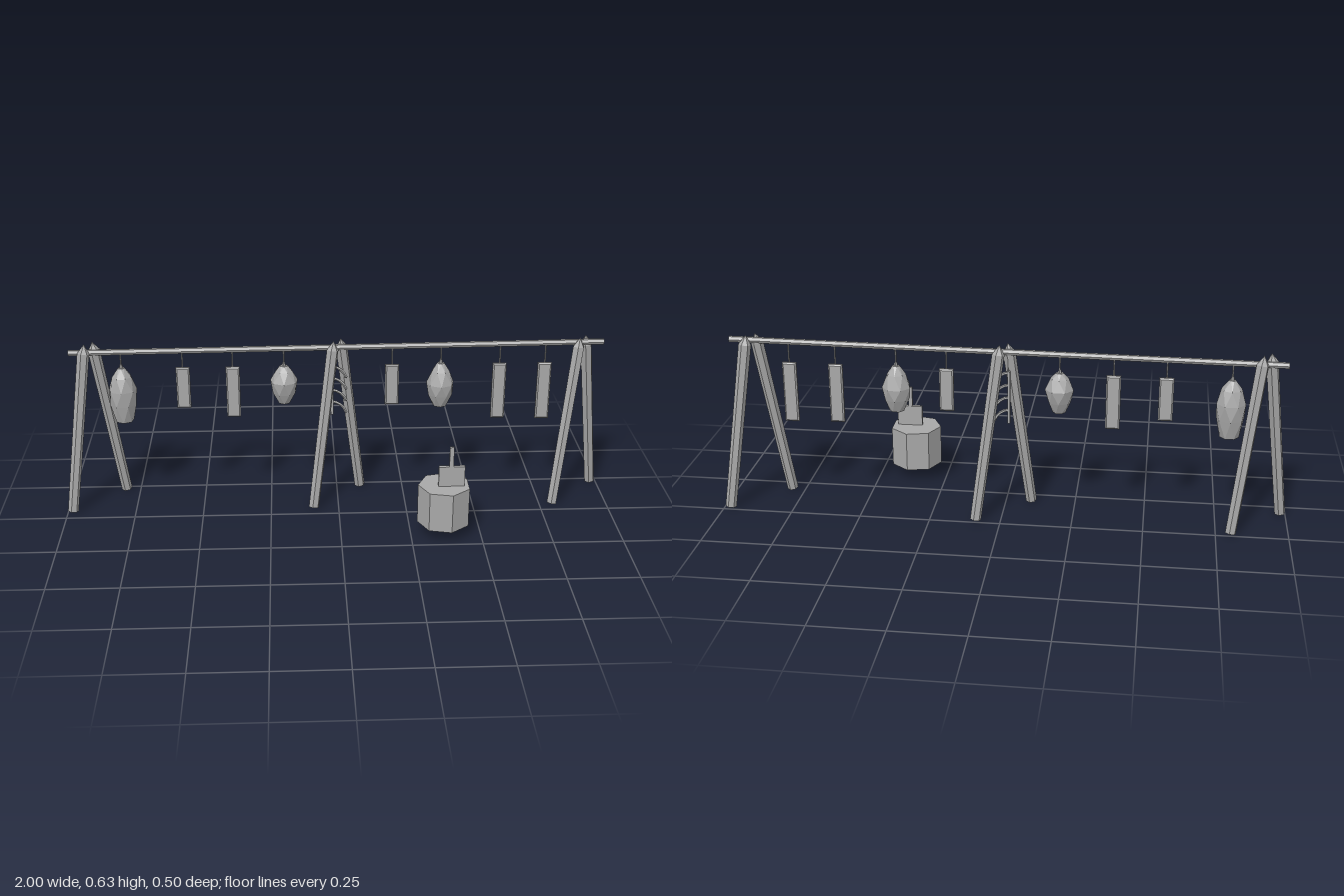
import * as THREE from 'three';

const grey = new THREE.MeshStandardMaterial({ color: 0xa8a8a8, flatShading: true });
grey.name = 'plain grey';

const RACK_Z = -0.141;
const poleY = (x) => 0.601 + x * 0.0085;

function add(parent, geometry, name, x = 0, y = 0, z = 0) {
  const mesh = new THREE.Mesh(geometry, grey);
  mesh.name = name;
  mesh.position.set(x, y, z);
  parent.add(mesh);
  return mesh;
}

// Closed body from horizontal rings [y, radius], alternate rings turned half a step
function facetedBody(rings, sides) {
  const pos = [], index = [];
  rings.forEach(([y, r], j) => {
    for (let i = 0; i < sides; i++) {
      const a = ((i + (j % 2) / 2) / sides) * Math.PI * 2;
      pos.push(Math.sin(a) * r, y, Math.cos(a) * r);
    }
  });
  // Rings run from top to bottom
  for (let j = 0; j < rings.length - 1; j++) {
    for (let i = 0; i < sides; i++) {
      const n = (i + 1) % sides;
      const a = j * sides + i, b = j * sides + n;
      const c = (j + 1) * sides + i, d = (j + 1) * sides + n;
      if (j % 2 === 0) index.push(a, c, b, b, c, d);
      else index.push(a, c, d, a, d, b);
    }
  }
  // Flat caps
  const last = (rings.length - 1) * sides;
  for (let i = 1; i < sides - 1; i++) {
    index.push(0, i, i + 1, last, last + i + 1, last + i);
  }
  const g = new THREE.BufferGeometry();
  g.setAttribute('position', new THREE.Float32BufferAttribute(pos, 3));
  g.setIndex(index);
  const flat = g.toNonIndexed();
  flat.computeVertexNormals();
  return flat;
}

// Pair of splayed, sharpened posts, set diagonally under the pole
function trestle(x) {
  const group = new THREE.Group();
  group.name = 'trestle';
  const length = 0.602;
  const profile = [[0, 0], [0.0195, 0], [0.022, length], [0, length + 0.034]]
    .map(([r, y]) => new THREE.Vector2(r, y));
  for (const side of [-1, 1]) {
    const leg = add(group, new THREE.LatheGeometry(profile, 6), 'trestleLeg', side * 0.127, 0.003, 0);
    leg.rotation.z = side * 0.172;
  }
  group.position.set(x, 0, RACK_Z);
  group.rotation.y = Math.PI / 4;
  return group;
}

// Thin cord from the pole down to a hanging piece
function cord(parent, x, bottom) {
  const h = poleY(x) - bottom;
  add(parent, new THREE.CylinderGeometry(0.003, 0.003, h, 5), 'cord', x, bottom + h / 2, RACK_Z);
}

// Bevelled flat strip of meat
function slab(parent, x, bottom, top) {
  const w = 0.04, h = top - bottom - 0.01;
  const s = new THREE.Shape();
  s.moveTo(-w / 2, 0);
  s.lineTo(w / 2, 0);
  s.lineTo(w / 2, h);
  s.lineTo(-w / 2, h);
  s.closePath();
  const g = new THREE.ExtrudeGeometry(s, {
    depth: 0.008, bevelEnabled: true, bevelSize: 0.005, bevelThickness: 0.004, bevelSegments: 1,
  });
  add(parent, g, 'meatStrip', x, bottom + 0.005, RACK_Z - 0.004);
  cord(parent, x, top - 0.005);
}

// Faceted ham with a knot on top
function ham(parent, x, rings) {
  add(parent, facetedBody(rings, 7), 'ham', x, 0, RACK_Z);
  const top = rings[0][0];
  add(parent, new THREE.CylinderGeometry(0.005, 0.008, 0.014, 6), 'knot', x, top + 0.005, RACK_Z);
  cord(parent, x, top);
}

// Spine with curved ribs sweeping down to one side
function ribRack(parent) {
  const group = new THREE.Group();
  group.name = 'ribRack';
  add(group, new THREE.BoxGeometry(0.009, 0.19, 0.012), 'spine', -0.02, 0.435, 0);
  for (let i = 0; i < 4; i++) {
    const y = 0.527 - i * 0.046;
    const curve = new THREE.QuadraticBezierCurve3(
      new THREE.Vector3(-0.021, y, 0),
      new THREE.Vector3(0.016, y - 0.004, 0),
      new THREE.Vector3(0.031, y - 0.042, 0));
    add(group, new THREE.TubeGeometry(curve, 4, 0.0055, 5), 'rib');
    add(group, new THREE.ConeGeometry(0.0055, 0.006, 5), 'ribTip', 0.032, y - 0.044, 0).rotation.z = Math.PI + 0.35;
  }
  group.position.z = RACK_Z;
  parent.add(group);
  cord(parent, -0.018, 0.525);
}

export function createModel() {
  const model = new THREE.Group();
  model.name = 'dryingRack';

  // Rack
  for (const x of [-0.892, -0.002, 0.888]) model.add(trestle(x));
  const pole = add(model, new THREE.CylinderGeometry(0.011, 0.011, 1.93, 6), 'pole', 0, poleY(0), RACK_Z);
  pole.rotation.z = -Math.PI / 2 + 0.0085;

  // Hanging strips: x, bottom, top
  for (const [x, b, t] of [
    [-0.56, 0.375, 0.531], [-0.38, 0.336, 0.531], [0.198, 0.376, 0.531],
    [0.59, 0.316, 0.531], [0.755, 0.311, 0.531],
  ]) slab(model, x, b, t);

  // Hanging hams, from top ring to bottom ring
  ham(model, -0.78, [[0.533, 0.012], [0.5, 0.036], [0.45, 0.051], [0.395, 0.049], [0.328, 0.034]]);
  ham(model, -0.195, [[0.533, 0.014], [0.513, 0.032], [0.475, 0.051], [0.43, 0.042], [0.39, 0.023]]);
  ham(model, 0.375, [[0.535, 0.013], [0.505, 0.033], [0.457, 0.051], [0.415, 0.045], [0.37, 0.026]]);
  ribRack(model);

  // Chopping block, seven-sided
  const block = add(model, new THREE.CylinderGeometry(0.094, 0.094, 0.146, 7), 'choppingBlock', 0.367, 0.117, 0.154);
  block.rotation.y = -Math.PI / 2;

  // Cleaver standing in the block
  add(model, new THREE.BoxGeometry(0.092, 0.085, 0.014), 'cleaverBlade', 0.39, 0.2225, 0.163);
  add(model, new THREE.BoxGeometry(0.015, 0.075, 0.009), 'cleaverHandle', 0.388, 0.3015, 0.163);

  return model;
}
